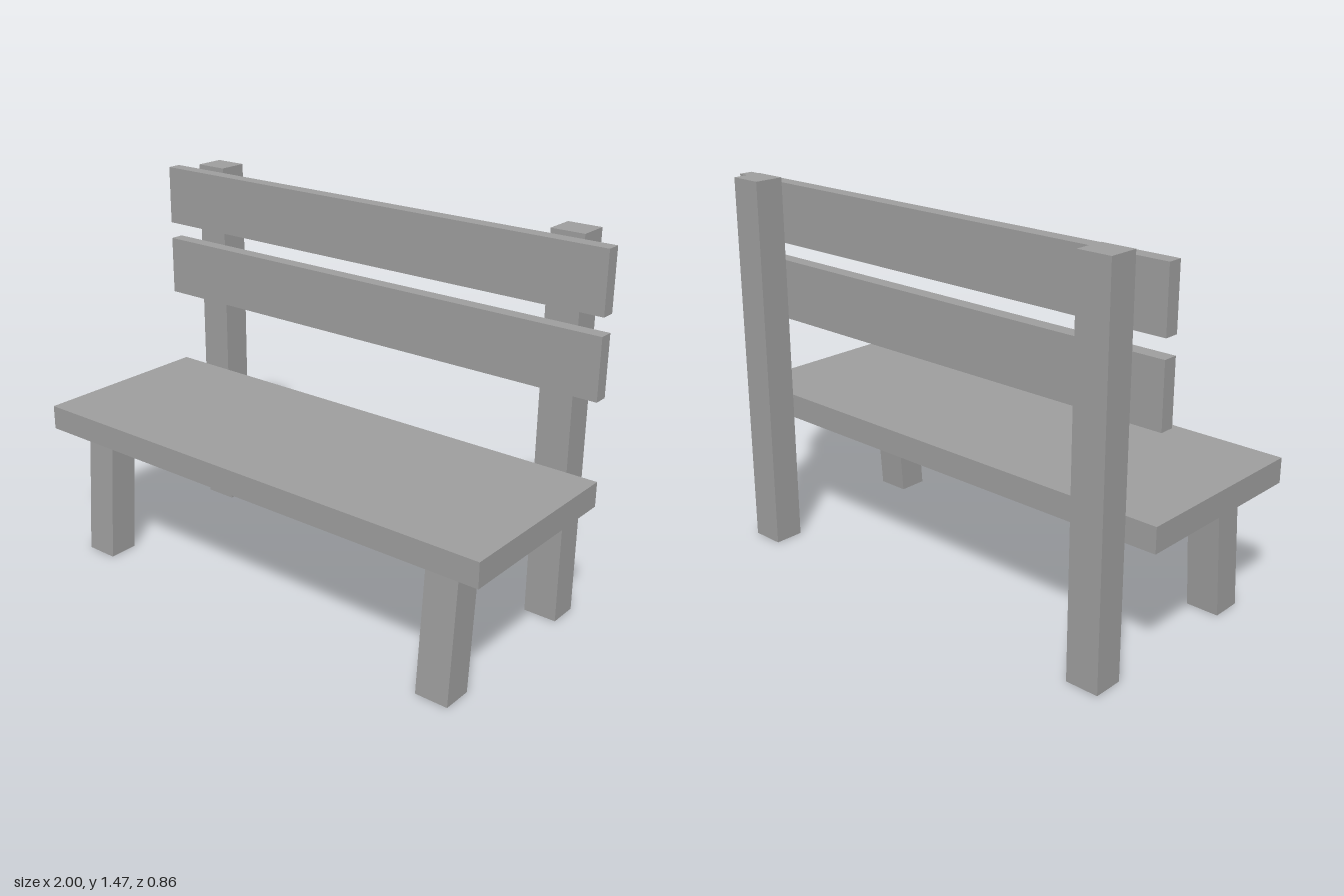
import * as THREE from 'three';

const color = 0x9d9d9d;
const material = new THREE.MeshStandardMaterial({ color, flatShading: true });
const hollowMaterial = new THREE.MeshStandardMaterial({ color, flatShading: true, side: THREE.DoubleSide });

// Box given by its limits on each axis
function boxBetween([x0, x1], [y0, y1], [z0, z1]) {
  const geometry = new THREE.BoxGeometry(x1 - x0, y1 - y0, z1 - z0);
  return geometry.translate((x0 + x1) / 2, (y0 + y1) / 2, (z0 + z1) / 2);
}

// Remove box sides by index (2 = top, 3 = bottom); each side has six indices
function openSides(geometry, sides) {
  const index = Array.from(geometry.index.array);
  geometry.setIndex(index.filter((_, i) => !sides.includes(Math.floor(i / 6))));
  geometry.clearGroups();
  return geometry;
}

export function createModel() {
  const group = new THREE.Group();
  const add = (name, geometry, mat = material) => {
    const mesh = new THREE.Mesh(geometry, mat);
    mesh.name = name;
    group.add(mesh);
  };

  // Seat board and the two backrest boards
  add('seat', boxBetween([-1, 1], [0.51, 0.605], [-0.313, 0.43]));
  add('lowerBackBoard', boxBetween([-1, 1], [0.918, 1.15], [-0.313, -0.258]));
  add('upperBackBoard', boxBetween([-1, 1], [1.217, 1.448], [-0.313, -0.258]));

  for (const [side, x] of [['left', 0.815], ['right', -0.815]]) {
    const width = [x - 0.065, x + 0.065];

    // Tall back post, open underneath
    add(side + 'BackPost', openSides(boxBetween(width, [0, 1.466], [-0.43, -0.313]), [3]), hollowMaterial);

    // Front leg, sheared so that the foot stands further forward
    const leg = openSides(boxBetween(width, [0, 0.51], [0.235, 0.353]), [2, 3]);
    const shear = -0.038 / 0.51;
    leg.applyMatrix4(new THREE.Matrix4().set(
      1, 0, 0, 0,
      0, 1, 0, 0,
      0, shear, 1, 0.038,
      0, 0, 0, 1,
    ));
    leg.computeVertexNormals();
    add(side + 'FrontLeg', leg, hollowMaterial);
  }
  return group;
}
